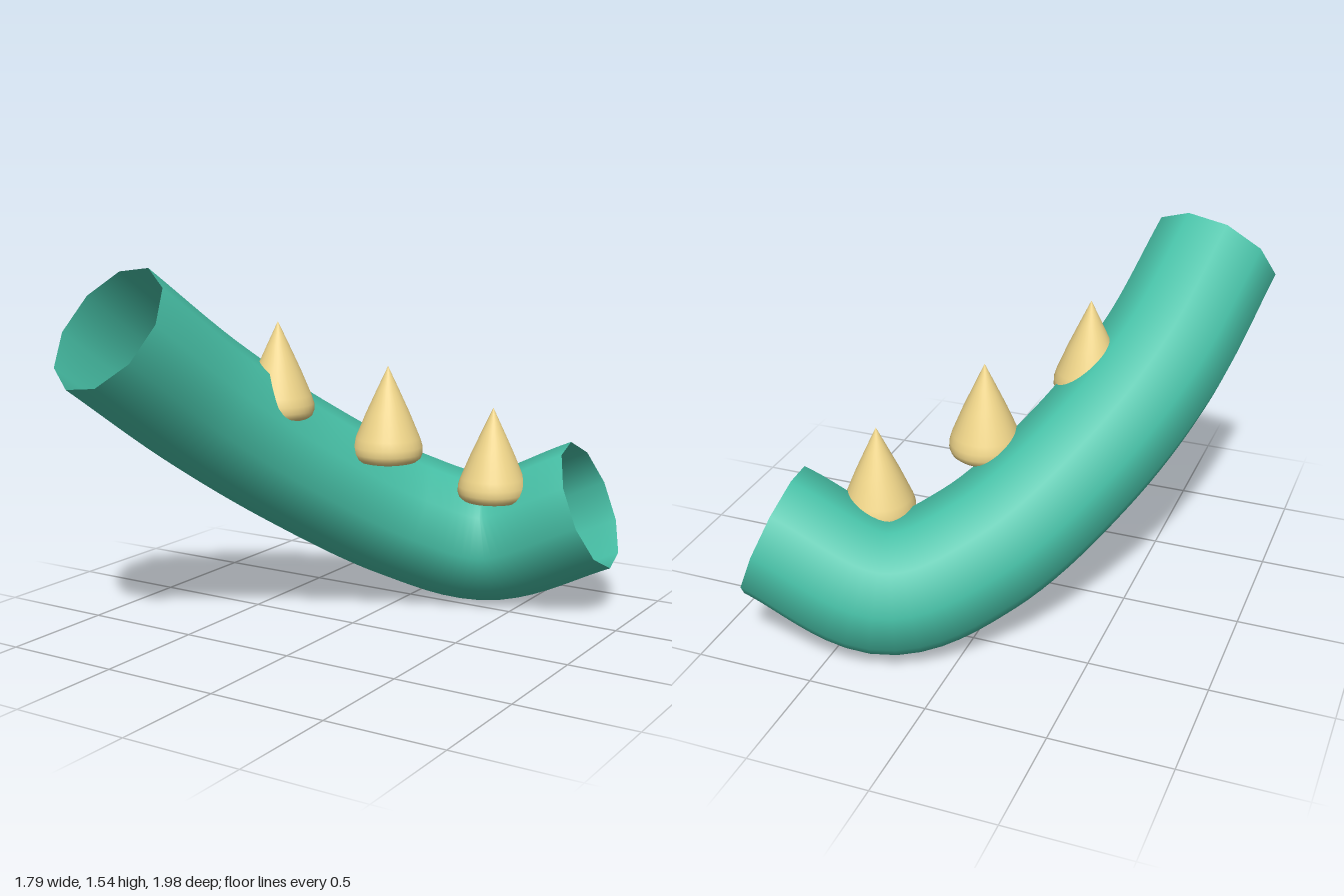
import * as THREE from 'three';

export function createModel() {
  const model = new THREE.Group();
  const tubeMaterial = new THREE.MeshStandardMaterial({ color: 0x48c2a8, side: THREE.DoubleSide });
  const spikeMaterial = new THREE.MeshStandardMaterial({ color: 0xf0d68a, side: THREE.DoubleSide });

  // Hollow curved body, open at both ends
  const path = new THREE.CatmullRomCurve3([
    [-0.62, 1.325, 0.81],
    [-0.5, 0.98, 0.36],
    [-0.3, 0.68, -0.04],
    [0, 0.405, -0.43],
    [0.31, 0.295, -0.65],
    [0.78, 0.49, -0.71],
  ].map((p) => new THREE.Vector3(...p)));
  const body = new THREE.Mesh(new THREE.TubeGeometry(path, 48, 0.288, 10, false), tubeMaterial);
  body.name = 'curvedTube';
  model.add(body);

  // Upright spikes with a rounded base, stepping down the inside of the bend
  const profile = [
    [0, 0], [0.1, 0], [0.125, 0.006], [0.142, 0.02], [0.15, 0.042],
    [0.149, 0.07], [0.138, 0.105], [0.092, 0.215], [0.046, 0.315], [0, 0.413],
  ].map(([r, y]) => new THREE.Vector2(r, y));
  const spikeGeometry = new THREE.LatheGeometry(profile, 32);
  [[-0.272, 0.9, 0.15], [0.07, 0.7, -0.17], [0.41, 0.505, -0.49]].forEach((p, i) => {
    const spike = new THREE.Mesh(spikeGeometry, spikeMaterial);
    spike.name = `spike${i + 1}`;
    spike.position.set(...p);
    model.add(spike);
  });

  return model;
}
